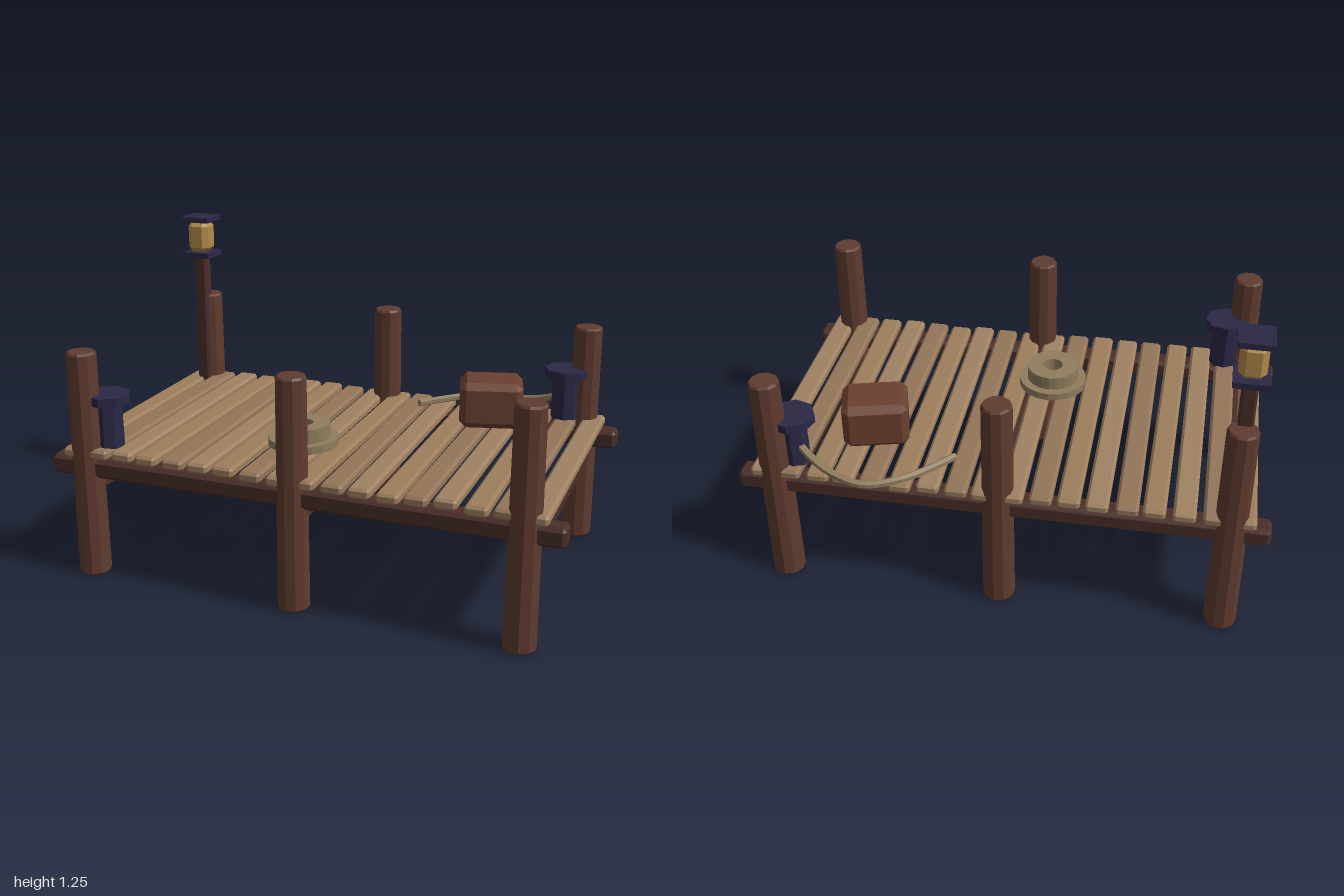
import * as THREE from 'three';
import { ConvexGeometry } from 'three/addons/geometries/ConvexGeometry.js';

const mat = (color) => new THREE.MeshStandardMaterial({ color, flatShading: true });

// Box with chamfered edges and corners
function chamferBox(w, h, d, c) {
  const pts = [];
  for (const sx of [-1, 1]) for (const sy of [-1, 1]) for (const sz of [-1, 1]) {
    const x = w / 2, y = h / 2, z = d / 2;
    pts.push(new THREE.Vector3(sx * x, sy * (y - c), sz * (z - c)));
    pts.push(new THREE.Vector3(sx * (x - c), sy * y, sz * (z - c)));
    pts.push(new THREE.Vector3(sx * (x - c), sy * (y - c), sz * z));
  }
  return new ConvexGeometry(pts);
}

// Turned solid from [radius, height] pairs
const lathe = (profile, sides) =>
  new THREE.LatheGeometry(profile.map(([r, y]) => new THREE.Vector2(r, y)), sides);

export function createModel() {
  const model = new THREE.Group();
  const postWood = mat(0x5f3b2f), beamWood = mat(0x4a2e29), crateWood = mat(0x6b4030);
  const planks = [mat(0x9c7e5c), mat(0x94765a), mat(0xa08262)];
  const iron = mat(0x2a2845), rope = mat(0x8f7d5e), glow = mat(0xb38b4a);

  const add = (name, geometry, material, x, y, z, yaw = 0, parent = model) => {
    const mesh = new THREE.Mesh(geometry, material);
    mesh.name = name;
    mesh.position.set(x, y, z);
    mesh.rotation.y = yaw;
    parent.add(mesh);
    return mesh;
  };

  let seed = 7;
  const jitter = (a) => {
    seed = (seed * 16807) % 2147483647;
    return (seed / 2147483647 * 2 - 1) * a;
  };

  // Round posts and the joists joining each front and back pair
  const post = lathe([[0, 0], [0.056, 0], [0.062, 0.008], [0.057, 0.892], [0.051, 0.9], [0, 0.9]], 10);
  const joist = chamferBox(0.08, 0.065, 1.02, 0.01);
  for (const x of [-0.855, 0, 0.855]) {
    add('post', post, postWood, x, 0, 0.541, jitter(0.3));
    add('post', post, postWood, x, 0, -0.507, jitter(0.3));
    add('joist', joist, beamWood, x, 0.368, 0.017);
  }

  // Long beams under the deck
  const beam = chamferBox(2, 0.076, 0.087, 0.014);
  for (const z of [0.53, -0.494]) add('longBeam', beam, beamWood, 0, 0.443, z);

  // Slightly uneven deck planks
  const plank = chamferBox(0.084, 0.04, 1.13, 0.01);
  const deck = new THREE.Group();
  deck.name = 'deck';
  model.add(deck);
  for (let i = 0; i < 18; i++) {
    add('plank', plank, planks[i % 3], -0.899 + i * 0.1057, 0.503 + jitter(0.007),
      0.016 + jitter(0.004), jitter(0.008), deck);
  }

  // Lantern on its pole
  const lantern = new THREE.Group();
  lantern.name = 'lantern';
  lantern.position.set(-0.86, 0, -0.461);
  model.add(lantern);
  add('lanternPole', chamferBox(0.056, 0.6, 0.056, 0.008), beamWood, 0, 0.78, 0, 0, lantern);
  const plate = new THREE.BoxGeometry(0.125, 0.022, 0.125);
  add('lanternBase', plate, iron, 0, 1.086, 0, 0, lantern);
  add('lanternRoof', plate, iron, 0, 1.242, 0, 0, lantern);
  add('lanternGlass', chamferBox(0.096, 0.137, 0.096, 0.022), glow, 0, 1.164, 0, 0, lantern);

  // Mooring bollards
  const bollard = lathe([[0, 0], [0.056, 0], [0.053, 0.175], [0.088, 0.175], [0.088, 0.21], [0, 0.21]], 8);
  add('bollard', bollard, iron, -0.782, 0.52, 0.49, 0.1);
  add('bollard', bollard, iron, 0.785, 0.52, -0.462, 0.1);

  // Crate
  add('crate', chamferBox(0.25, 0.186, 0.205, 0.026), crateWood, 0.522, 0.622, -0.268, 0.26);

  // Stepped rope coil with a hole through the middle
  const coil = lathe([[0.04, 0], [0.137, 0], [0.137, 0.03], [0.104, 0.03], [0.104, 0.085],
    [0.04, 0.085], [0.04, 0]], 20);
  add('ropeCoil', coil, rope, -0.095, 0.522, 0.21);

  // Loose rope hanging over the back edge from the bollard
  const path = new THREE.CatmullRomCurve3([
    [0.19, 0.538, -0.37], [0.26, 0.538, -0.45], [0.36, 0.538, -0.54], [0.49, 0.533, -0.587],
    [0.62, 0.55, -0.56], [0.72, 0.585, -0.51], [0.785, 0.625, -0.465],
  ].map((p) => new THREE.Vector3(...p)));
  add('looseRope', new THREE.TubeGeometry(path, 24, 0.015, 6), rope, 0, 0, 0);
  const ropeEnd = add('ropeEnd', new THREE.CircleGeometry(0.015, 6), rope, 0.19, 0.538, -0.37);
  ropeEnd.lookAt(path.getPointAt(0).sub(path.getTangentAt(0)));

  return model;
}
